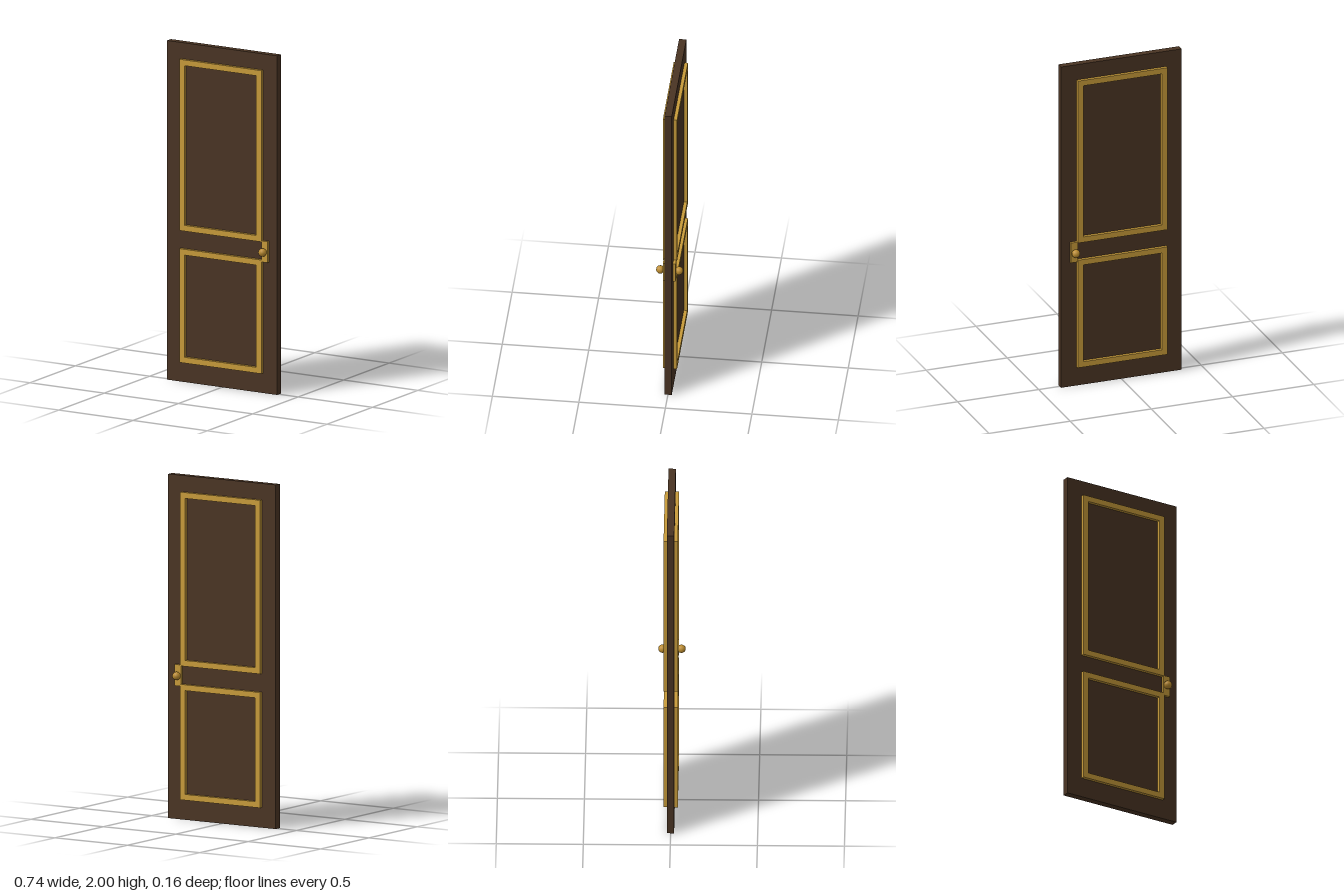
import * as THREE from 'three';

const wood = new THREE.MeshStandardMaterial({ color: 0x4a3423 });
wood.name = 'dark wood';
const gold = new THREE.MeshStandardMaterial({ color: 0xc89b3a });
gold.name = 'gold trim';
const brass = new THREE.MeshStandardMaterial({ color: 0xbd8d30 });
brass.name = 'brass knob';

const MID = -0.001; // centre plane of the leaf

function add(parent, name, geometry, material, x, y, z) {
  const mesh = new THREE.Mesh(geometry, material);
  mesh.name = name;
  mesh.position.set(x, y, z);
  parent.add(mesh);
  return mesh;
}

// Rectangular moulding with an open middle, extruded along z from 0
function frameGeometry(halfWidth, bottom, top, border, depth) {
  const rect = (target, w, y0, y1) => target
    .moveTo(-w, y0).lineTo(w, y0).lineTo(w, y1).lineTo(-w, y1).closePath();
  const shape = rect(new THREE.Shape(), halfWidth, bottom, top);
  shape.holes.push(rect(new THREE.Path(), halfWidth - border, bottom + border, top - border));
  return new THREE.ExtrudeGeometry(shape, { depth, bevelEnabled: false });
}

export function createModel() {
  const door = new THREE.Group();
  door.name = 'door';

  // Door leaf
  add(door, 'doorLeaf', new THREE.BoxGeometry(0.742, 2, 0.042), wood, 0, 1, MID);

  // Mouldings, lock plate and knob on both faces
  for (const [side, s] of [['front', 1], ['back', -1]]) {
    const face = new THREE.Group();
    face.name = side + 'Fittings';
    door.add(face);

    const z = s > 0 ? MID + 0.02 : MID - 0.041;
    add(face, 'upperPanelFrame', frameGeometry(0.276, 0.895, 1.905, 0.034, 0.021), gold, 0, 0, z);
    add(face, 'lowerPanelFrame', frameGeometry(0.276, 0.117, 0.788, 0.034, 0.021), gold, 0, 0, z);

    add(face, 'lockPlate', new THREE.BoxGeometry(0.043, 0.124, 0.018), gold, 0.295, 0.838, MID + s * 0.028);
    add(face, 'knob', new THREE.SphereGeometry(0.0245, 10, 8), brass, 0.292, 0.837, MID + s * 0.0545);
  }

  return door;
}
